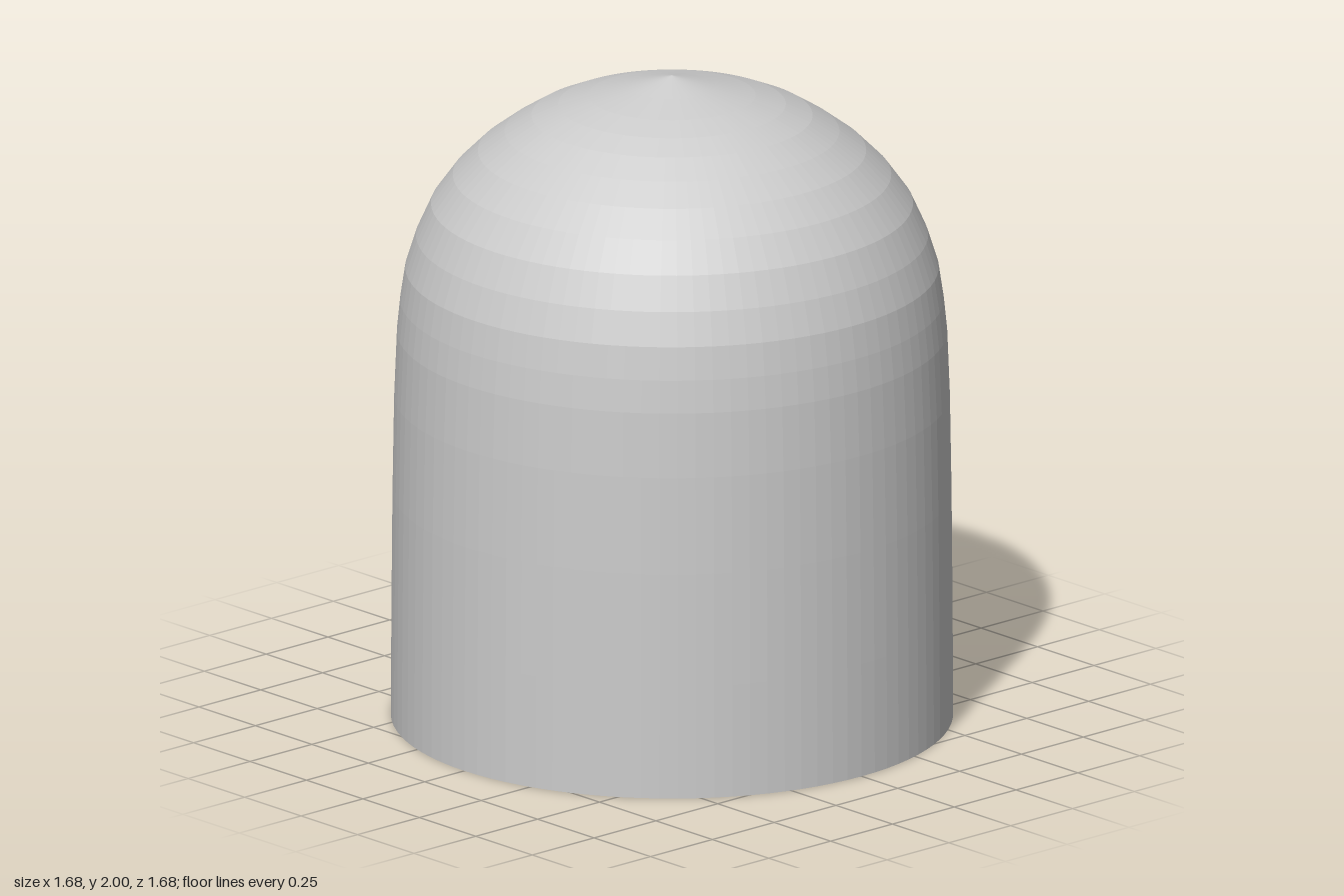
import * as THREE from 'three';

// Dome outline from the open base up to the pointed crown: [radius, height]
const PROFILE = [
  [0.84, 0], [0.838, 0.35], [0.835, 0.7], [0.83, 1.0], [0.822, 1.2],
  [0.812, 1.3], [0.797, 1.4], [0.765, 1.5], [0.72, 1.6], [0.655, 1.69],
  [0.58, 1.765], [0.5, 1.825], [0.42, 1.875], [0.34, 1.91], [0.25, 1.938],
  [0.13, 1.967], [0, 2],
];

function domeShell(name, scale) {
  const points = PROFILE.map(([r, y]) => new THREE.Vector2(r * scale, y * scale));
  const material = new THREE.MeshStandardMaterial({
    color: 0xcccccc, flatShading: true, side: THREE.DoubleSide,
  });
  const mesh = new THREE.Mesh(new THREE.LatheGeometry(points, 96), material);
  mesh.name = name;
  return mesh;
}

export function createModel() {
  const model = new THREE.Group();
  model.name = 'dome';
  // Two nested open shells with a gap between them at the base
  model.add(domeShell('outerShell', 1), domeShell('innerShell', 0.9));
  return model;
}
